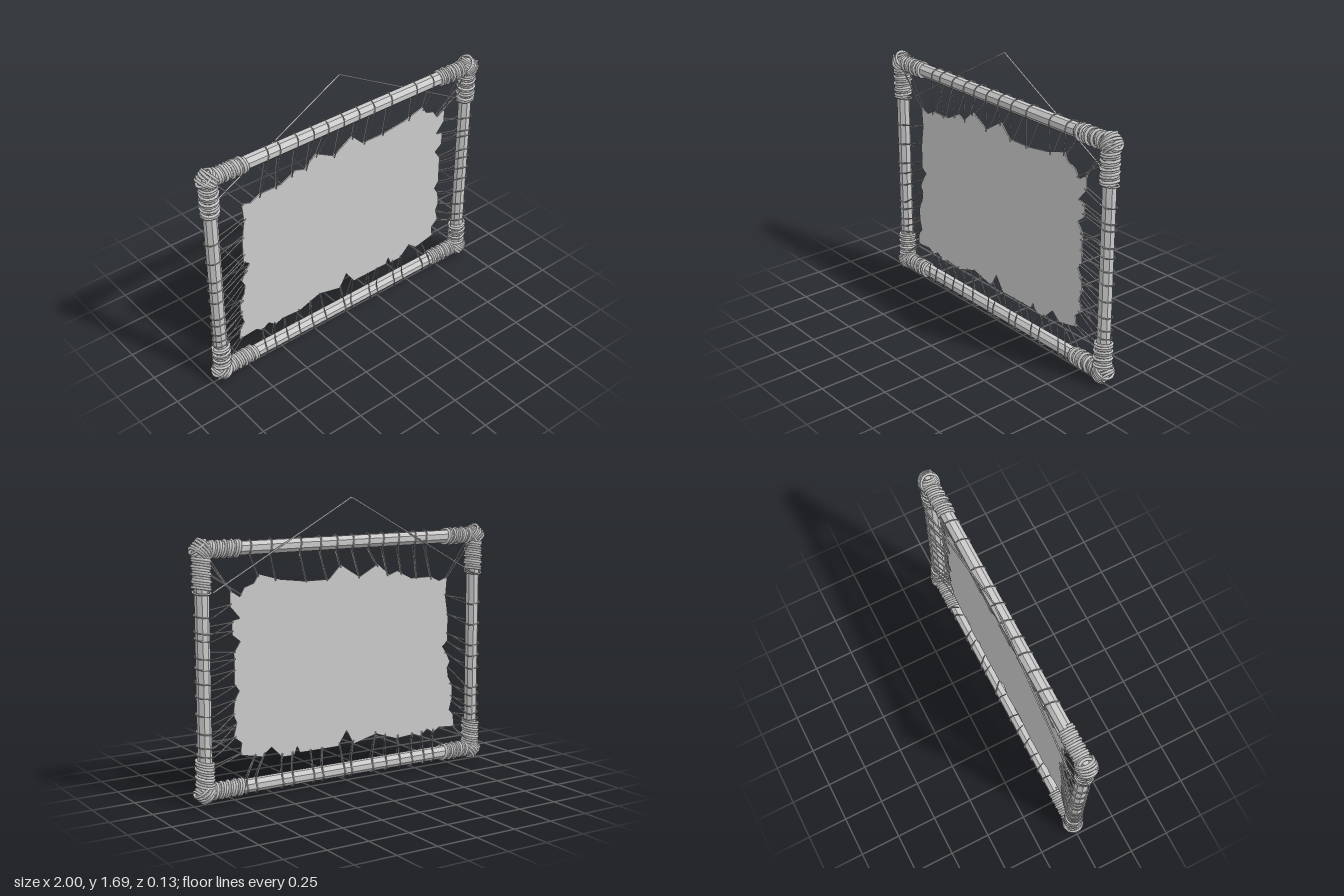
import * as THREE from 'three';

const WOOD = new THREE.MeshStandardMaterial({ color: 0xcccccc, flatShading: true });
const CORD = new THREE.MeshStandardMaterial({ color: 0xcccccc });
const HIDE = new THREE.MeshStandardMaterial({ color: 0xcccccc, side: THREE.DoubleSide });

const POST_X = 0.93, TOP_Y = 1.42, BOTTOM_Y = 0.065;
const V = (x, y, z) => new THREE.Vector3(x, y, z);

function add(parent, name, geometry, material) {
  const mesh = new THREE.Mesh(geometry, material);
  mesh.name = name;
  parent.add(mesh);
  return mesh;
}

function cord(parent, name, points, radius, segments, closed = false, sides = 5) {
  const curve = new THREE.CatmullRomCurve3(points, closed, 'centripetal');
  return add(parent, name, new THREE.TubeGeometry(curve, segments, radius, sides, closed), CORD);
}

// Eight-sided pole with its flats facing the axes
function pole(parent, name, length, x, y, horizontal) {
  const g = new THREE.CylinderGeometry(0.041, 0.041, length, 8);
  g.rotateY(Math.PI / 8);
  if (horizontal) g.rotateZ(Math.PI / 2);
  add(parent, name, g, WOOD).position.set(x, y, 0);
}

// Tight, slightly uneven winding of cord along a pole, from one end to the other
function winding(parent, name, from, to, radius) {
  const dir = to.clone().sub(from), length = dir.length();
  const turns = Math.round(length / 0.0145), steps = turns * 12;
  const points = [];
  for (let i = 0; i <= steps; i++) {
    const a = (i / 12) * Math.PI * 2, k = Math.floor(i / 12);
    const r = radius + 0.003 * Math.sin(k * 2.3) + 0.002 * Math.sin(a * 0.37);
    const slant = 0.008 * Math.cos(a + 0.5);
    points.push(V(r * Math.cos(a), (i / steps) * length + slant, r * Math.sin(a)));
  }
  const mesh = cord(parent, name, points, 0.0085, steps);
  mesh.position.copy(from);
  mesh.quaternion.setFromUnitVectors(V(0, 1, 0), dir.normalize());
}

// Diagonal turns that bind the two poles at a corner
function cornerBinding(parent, sx, sy, cy) {
  for (const flip of [1, -1]) {
    for (let k = -2; k <= 2; k++) {
      const u = V(sx * Math.SQRT1_2, flip * sy * Math.SQRT1_2, 0);
      const w = V(-u.y, u.x, 0);
      const points = [];
      for (let i = 0; i < 14; i++) {
        const a = (i / 14) * Math.PI * 2;
        const p = u.clone().multiplyScalar(0.055 * Math.cos(a));
        p.addScaledVector(w, k * 0.014 + 0.006 * Math.sin(a + k));
        p.z = (0.054 - Math.abs(k) * 0.003 + (flip > 0 ? 0.004 : 0)) * Math.sin(a);
        points.push(p.add(V(sx * POST_X, cy, 0)));
      }
      cord(parent, 'cornerBindingTurn', points, 0.0085, 28, true);
    }
  }
  // Loose cord end sticking out of the knot
  const c = V(sx * POST_X, cy, 0.03);
  cord(parent, 'cordEnd', [c, c.clone().add(V(sx * 0.03, sy * 0.02, 0.01)),
    c.clone().add(V(sx * 0.052, sy * 0.036, 0))], 0.007, 6);
}

// Lace from a hole in the hide, over the front of a pole, round it and back behind
function lace(parent, side, along, hx, hy, shift) {
  const at = (a, out, z) => side.vertical
    ? V(side.sign * (POST_X + out), a, z)
    : V(a, side.y + side.sign * out, z);
  const s = (t) => along + shift * t;
  cord(parent, 'lace', [
    V(hx, hy, 0.008), at(s(0), -0.035, 0.036), at(s(0.15), 0, 0.043), at(s(0.3), 0.03, 0.036),
    at(s(0.45), 0.045, 0.012), at(s(0.6), 0.045, -0.012), at(s(0.75), 0.03, -0.036),
    at(s(0.85), 0, -0.043), at(s(1), -0.035, -0.036), V(hx + 0.004, hy + 0.004, -0.008),
  ], 0.0042, 30, false, 4);
}

export function createModel() {
  const model = new THREE.Group();
  model.name = 'stretchedHideFrame';

  // Frame poles
  const frame = new THREE.Group();
  frame.name = 'frame';
  model.add(frame);
  for (const s of [-1, 1]) pole(frame, s > 0 ? 'leftPost' : 'rightPost', 1.43, s * POST_X, 0.74, false);
  pole(frame, 'topPole', 1.9, 0, TOP_Y, true);
  pole(frame, 'bottomPole', 1.9, 0, BOTTOM_Y, true);

  // Corner lashings
  const lashings = new THREE.Group();
  lashings.name = 'cornerLashings';
  model.add(lashings);
  for (const sx of [-1, 1]) {
    for (const sy of [-1, 1]) {
      const cy = sy > 0 ? TOP_Y : BOTTOM_Y;
      const postEnd = sy > 0 ? 1.2 : 0.25;
      winding(lashings, 'postWinding', V(sx * POST_X, postEnd, 0), V(sx * POST_X, cy - sy * 0.02, 0), 0.048);
      winding(lashings, 'crossPoleWinding', V(sx * 0.7, cy, 0), V(sx * 0.89, cy, 0), 0.044);
      cornerBinding(lashings, sx, sy, cy);
    }
  }

  // Hide with a ragged edge
  const outline = [
    [-0.73, 1.17], [-0.67, 1.15], [-0.61, 1.18], [-0.46, 1.18], [-0.36, 1.23], [-0.3, 1.21],
    [-0.22, 1.28], [-0.09, 1.21], [0.04, 1.29], [0.12, 1.21], [0.28, 1.21], [0.44, 1.23],
    [0.58, 1.27], [0.61, 1.22], [0.67, 1.2], [0.7, 1.15], [0.76, 1.19], [0.76, 1.1],
    [0.7, 1.03], [0.75, 1.02], [0.75, 0.94], [0.7, 0.9], [0.74, 0.84], [0.74, 0.66],
    [0.71, 0.62], [0.74, 0.57], [0.75, 0.49], [0.73, 0.44], [0.75, 0.36], [0.7, 0.32],
    [0.71, 0.25], [0.57, 0.22], [0.51, 0.27], [0.44, 0.2], [0.36, 0.2], [0.34, 0.25],
    [0.32, 0.21], [0.06, 0.21], [0, 0.3], [-0.05, 0.21], [-0.21, 0.25], [-0.36, 0.2],
    [-0.49, 0.21], [-0.54, 0.19], [-0.59, 0.23], [-0.64, 0.2], [-0.68, 0.23], [-0.8, 0.22],
    [-0.79, 0.3], [-0.76, 0.33], [-0.78, 0.4], [-0.78, 0.49], [-0.75, 0.54], [-0.74, 0.6],
    [-0.76, 0.64], [-0.73, 0.7], [-0.7, 0.74], [-0.74, 0.77], [-0.74, 0.92], [-0.72, 1.05],
  ];
  const shape = new THREE.Shape(outline.map(([x, y]) => new THREE.Vector2(x, y)));
  const hide = new THREE.ExtrudeGeometry(shape, { depth: 0.008, bevelEnabled: false });
  add(model, 'hide', hide.translate(0, 0, -0.004), HIDE);

  // Laces: place on the pole, then the hole in the hide
  const sides = [
    { name: 'topLaces', y: TOP_Y, sign: 1, shift: 0.03, laces: [
      [-0.57, -0.61, 1.16], [-0.49, -0.5, 1.17], [-0.37, -0.39, 1.2], [-0.26, -0.29, 1.2],
      [-0.16, -0.22, 1.26], [-0.05, -0.09, 1.2], [0.06, 0.04, 1.27], [0.17, 0.13, 1.2],
      [0.3, 0.27, 1.2], [0.49, 0.47, 1.22], [0.62, 0.58, 1.25]] },
    { name: 'bottomLaces', y: BOTTOM_Y, sign: -1, shift: 0.03, laces: [
      [-0.64, -0.64, 0.22], [-0.57, -0.55, 0.22], [-0.48, -0.48, 0.22], [-0.39, -0.37, 0.22],
      [-0.29, -0.28, 0.24], [-0.19, -0.21, 0.26], [-0.04, -0.05, 0.23], [0.01, 0.05, 0.23],
      [0.16, 0.17, 0.22], [0.22, 0.25, 0.22], [0.36, 0.37, 0.22], [0.43, 0.44, 0.22],
      [0.6, 0.55, 0.24], [0.66, 0.61, 0.24]] },
    { name: 'rightLaces', vertical: true, sign: -1, shift: -0.03, laces: [
      [1.02, -0.71, 1.06], [0.89, -0.73, 0.94], [0.76, -0.73, 0.82], [0.69, -0.73, 0.77],
      [0.61, -0.72, 0.7], [0.49, -0.75, 0.6], [0.44, -0.76, 0.5], [0.37, -0.77, 0.42],
      [0.32, -0.77, 0.39], [0.28, -0.78, 0.31]] },
    { name: 'leftLaces', vertical: true, sign: 1, shift: -0.03, laces: [
      [1.08, 0.75, 1.11], [0.99, 0.74, 1.01], [0.95, 0.74, 0.96], [0.85, 0.73, 0.84],
      [0.79, 0.73, 0.8], [0.71, 0.73, 0.74], [0.63, 0.73, 0.65], [0.53, 0.73, 0.57],
      [0.43, 0.74, 0.49], [0.35, 0.73, 0.43], [0.3, 0.73, 0.36]] },
  ];
  for (const side of sides) {
    const group = new THREE.Group();
    group.name = side.name;
    model.add(group);
    for (const [along, hx, hy] of side.laces) lace(group, side, along, hx, hy, side.shift);
  }

  // Laces tying the hide to the corners
  const corners = [[-0.72, 1.16, -0.89, 1.38], [0.75, 1.18, 0.89, 1.37], [0.69, 1.16, 0.89, 1.29],
    [-0.78, 0.23, -0.89, 0.13], [0.7, 0.26, 0.89, 0.2]];
  for (const [hx, hy, px, py] of corners) {
    for (const z of [0.02, -0.02]) cord(model, 'cornerLace', [V(hx, hy, z * 0.3), V(px, py, z)], 0.0042, 2, false, 4);
  }

  // Hanging cord behind the frame, looped round both posts
  for (const s of [-1, 1]) {
    cord(model, 'hangingCord', [V(0, 1.68, -0.057), V(s * 0.89, 1.19, -0.057)], 0.005, 2);
    const loop = [];
    for (let i = 0; i < 12; i++) {
      const a = (i / 12) * Math.PI * 2;
      loop.push(V(s * POST_X + 0.05 * Math.cos(a), 1.19 + 0.008 * Math.sin(a), 0.05 * Math.sin(a)));
    }
    cord(model, 'hangingCordLoop', loop, 0.006, 24, true);
  }
  return model;
}
